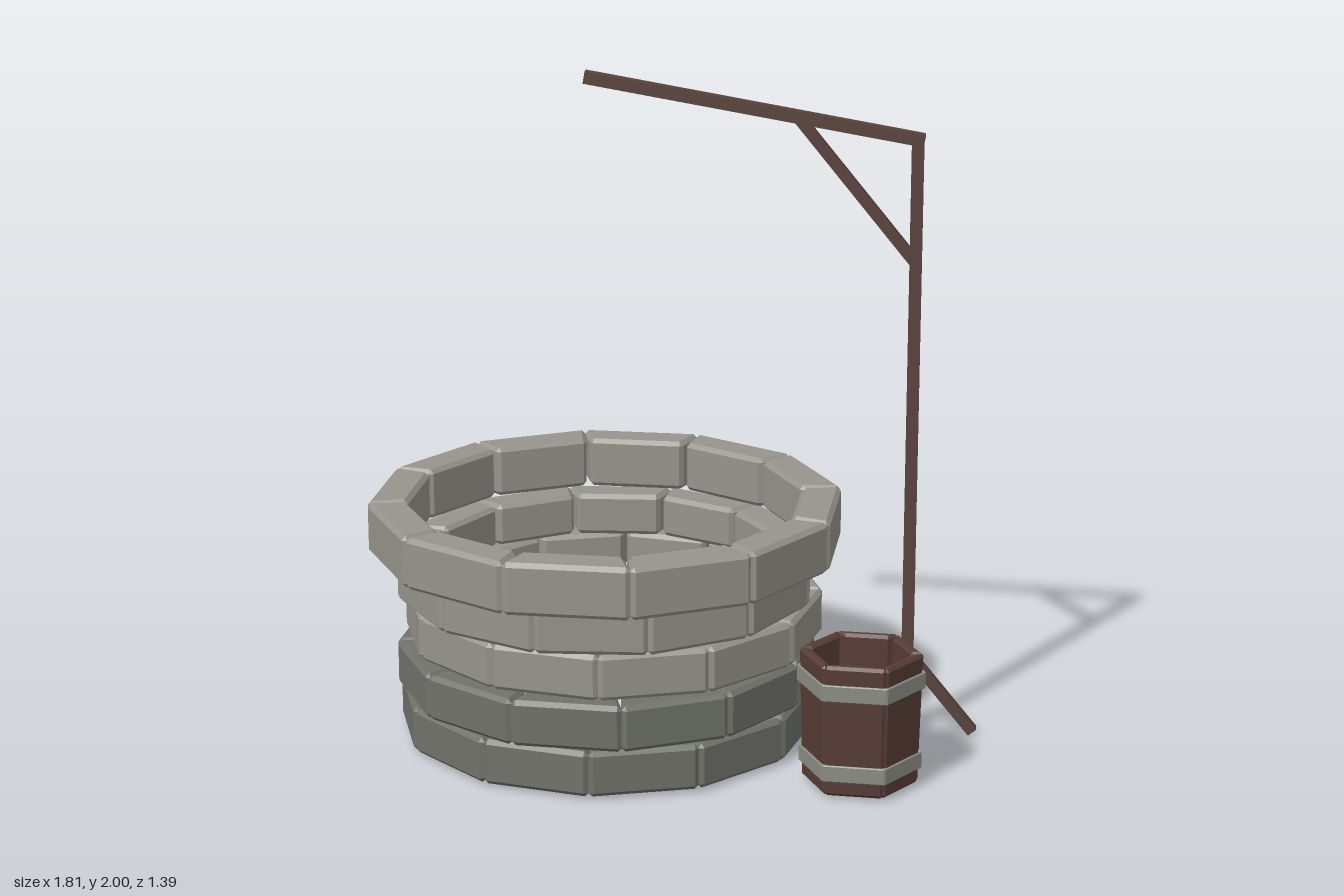
import * as THREE from 'three';
import { ConvexGeometry } from 'three/addons/geometries/ConvexGeometry.js';

const mat = (name, color) => {
  const m = new THREE.MeshStandardMaterial({ color });
  m.name = name;
  return m;
};

// One bevelled wedge of an n-sided ring, facing +x, centred on y = 0
function wedge(n, rIn, rOut, height, bevel, gap, taper = 0) {
  const points = [];
  for (const sx of [-1, 1]) for (const sy of [-1, 1]) for (const sz of [-1, 1]) {
    for (let face = 0; face < 3; face++) {
      const inset = [bevel, bevel, bevel];
      inset[face] = 0;
      const r = sx > 0 ? rOut : rIn;
      const y = sy * (height / 2 - inset[1]);
      const k = 1 + taper * y;
      points.push(new THREE.Vector3(
        (r - sx * inset[0]) * k,
        y,
        sz * (r * Math.tan(Math.PI / n) - gap - inset[2]) * k
      ));
    }
  }
  return new ConvexGeometry(points);
}

// Full ring of wedges; the angle turns from +x towards +z
function ring(name, part, geometry, material, n, degrees) {
  const g = new THREE.Group();
  g.name = name;
  for (let i = 0; i < n; i++) {
    const m = new THREE.Mesh(geometry, material);
    m.name = part;
    m.rotation.y = -THREE.MathUtils.degToRad(degrees + i * 360 / n);
    g.add(m);
  }
  return g;
}

// Square timber between two points in the z = 0 plane
function timber(name, material, x0, y0, x1, y1, size) {
  const dx = x1 - x0, dy = y1 - y0;
  const m = new THREE.Mesh(new THREE.BoxGeometry(Math.hypot(dx, dy), size, size), material);
  m.name = name;
  m.position.set((x0 + x1) / 2, (y0 + y1) / 2, 0);
  m.rotation.z = Math.atan2(dy, dx);
  return m;
}

export function createModel() {
  const model = new THREE.Group();
  model.name = 'well';
  const lightStone = mat('light stone', 0x96948b);
  const darkStone = mat('dark stone', 0x70726a);
  const wood = mat('post wood', 0x5a433d);
  const bucketWood = mat('bucket wood', 0x573c36);
  const hoopMetal = mat('hoop grey', 0x8c8c86);

  // Stone courses, from the ground up, each turned and nudged a little
  const courses = [
    { y0: 0.01, y1: 0.147, x: -0.212, z: -0.015, turn: 14, material: darkStone },
    { y0: 0.153, y1: 0.291, x: -0.212, z: 0.002, turn: 5, material: darkStone },
    { y0: 0.297, y1: 0.434, x: -0.195, z: -0.03, turn: 13, material: lightStone },
    { y0: 0.44, y1: 0.57, x: -0.212, z: 0, turn: -2, material: lightStone },
    { y0: 0.575, y1: 0.73, x: -0.212, z: 0.002, turn: 3.3, rIn: 0.57, rOut: 0.687, material: lightStone },
  ];
  const wall = new THREE.Group();
  wall.name = 'stoneWall';
  courses.forEach(({ y0, y1, x, z, turn, rIn = 0.5, rOut = 0.61, material }, i) => {
    const brick = wedge(12, rIn, rOut, y1 - y0, 0.013, 0.002);
    const course = ring(`course${i + 1}`, 'brick', brick, material, 12, turn);
    course.position.set(x, (y0 + y1) / 2, z);
    wall.add(course);
  });
  model.add(wall);

  // Hoist: post, sloping arm, brace and two feet
  const hoist = new THREE.Group();
  hoist.name = 'hoist';
  hoist.add(
    timber('post', wood, 0.693, 0.008, 0.693, 1.815, 0.036),
    timber('arm', wood, -0.268, 1.982, 0.712, 1.812, 0.036),
    timber('brace', wood, 0.35, 1.872, 0.693, 1.452, 0.032),
    timber('rightFoot', wood, 0.693, 0.257, 0.49, 0.012, 0.032),
    timber('leftFoot', wood, 0.693, 0.257, 0.892, 0.012, 0.032)
  );
  model.add(hoist);

  // Six-sided bucket, slightly wider at the top and open at both ends
  const bucket = new THREE.Group();
  bucket.name = 'bucket';
  bucket.position.set(0.565, 0.207, 0.397);
  const stave = wedge(6, 0.122, 0.153, 0.395, 0.009, 0.001, 0.15);
  bucket.add(ring('staves', 'stave', stave, bucketWood, 6, 35));
  for (const [name, y, r] of [['upperHoop', 0.325, 0.162], ['lowerHoop', 0.08, 0.156]]) {
    const segment = wedge(6, r - 0.022, r, 0.05, 0.003, 0);
    const hoop = ring(name, 'hoopSegment', segment, hoopMetal, 6, 35);
    hoop.position.y = y - 0.207;
    bucket.add(hoop);
  }
  model.add(bucket);
  return model;
}
